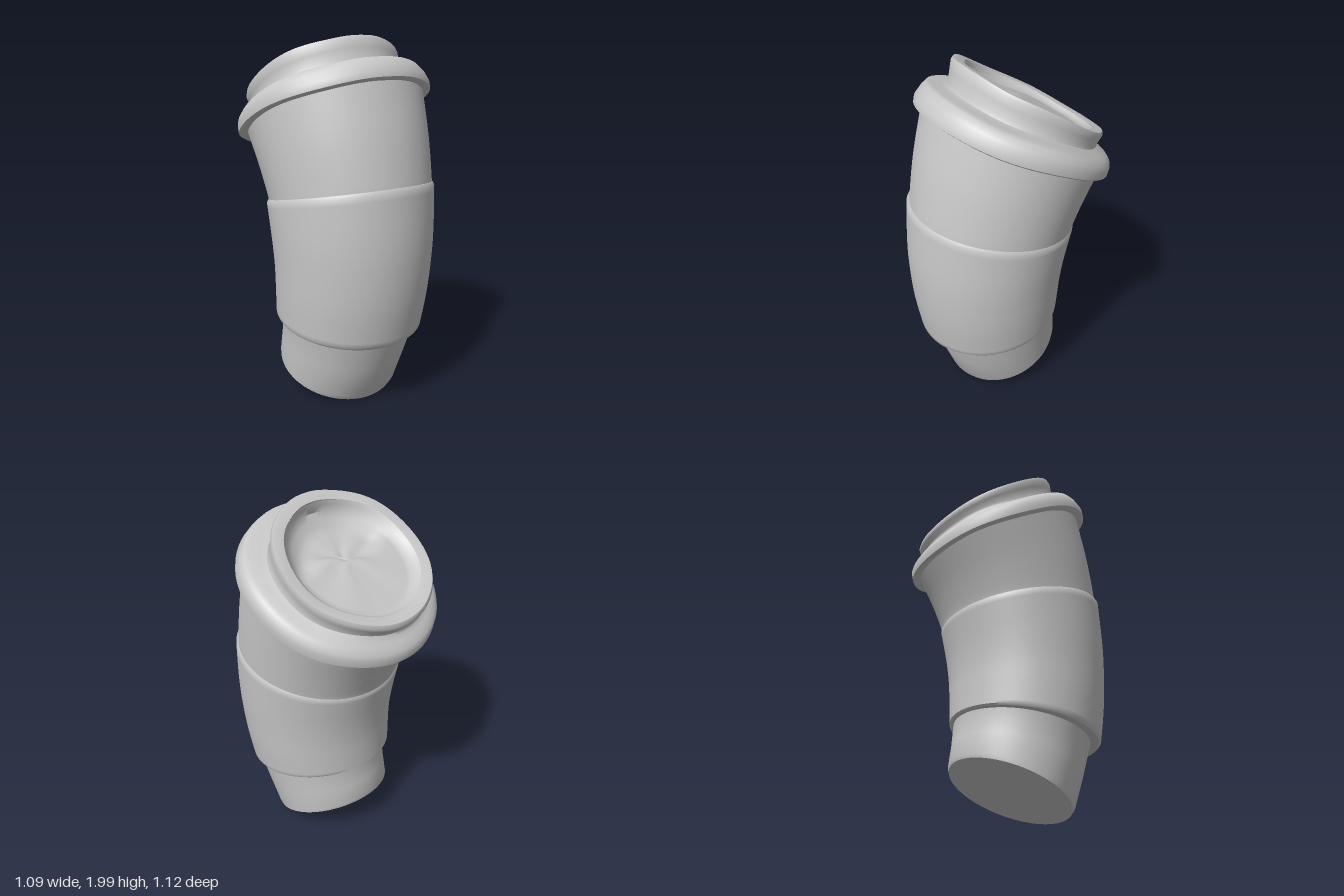
import * as THREE from 'three';
import { toCreasedNormals } from 'three/addons/utils/BufferGeometryUtils.js';

const SEGMENTS = 72;

// A section is [frontZ, frontY, backZ, backY, minX, maxX]: a tilted ellipse.
function sectionPoint(s, angle) {
  const [fz, fy, bz, by, x0, x1] = s;
  const c = Math.cos(angle);
  return new THREE.Vector3(
    (x0 + x1) / 2 + ((x1 - x0) / 2) * Math.sin(angle),
    (fy + by) / 2 + ((fy - by) / 2) * c,
    (fz + bz) / 2 + ((fz - bz) / 2) * c
  );
}

// Shrinks a section about its centre.
function shrink(s, k) {
  const out = [];
  for (const [a, b] of [[0, 2], [1, 3], [4, 5]]) {
    const mid = (s[a] + s[b]) / 2;
    out[a] = mid + (s[a] - mid) * k;
    out[b] = mid + (s[b] - mid) * k;
  }
  return out;
}

// Adds smooth in-between sections (Catmull-Rom on every value).
function refine(sections, steps) {
  const out = [];
  const at = (i) => sections[Math.max(0, Math.min(sections.length - 1, i))];
  for (let i = 0; i < sections.length - 1; i++) {
    for (let k = 0; k < steps; k++) {
      const t = k / steps;
      out.push(at(i).map((p1, n) => {
        const p0 = at(i - 1)[n], p2 = at(i + 1)[n], p3 = at(i + 2)[n];
        return p1 + 0.5 * t * (p2 - p0 + t * (2 * p0 - 5 * p1 + 4 * p2 - p3 + t * (3 * (p1 - p2) + p3 - p0)));
      }));
    }
  }
  out.push(at(sections.length - 1));
  return out;
}

// Skins the sections in order; optional rule moves each point.
function loft(name, sections, material, crease = 0.7, move = null) {
  const rings = sections.map((s) => {
    const ring = [];
    for (let j = 0; j < SEGMENTS; j++) {
      const p = sectionPoint(s, (j / SEGMENTS) * Math.PI * 2);
      if (move) move(p);
      ring.push(p);
    }
    return ring;
  });
  const pos = [];
  const tri = (a, b, c) => {
    if (a.distanceTo(b) < 1e-5 || b.distanceTo(c) < 1e-5 || c.distanceTo(a) < 1e-5) return;
    pos.push(...a.toArray(), ...b.toArray(), ...c.toArray());
  };
  for (let i = 0; i < rings.length - 1; i++) {
    for (let j = 0; j < SEGMENTS; j++) {
      const k = (j + 1) % SEGMENTS;
      tri(rings[i][j], rings[i][k], rings[i + 1][k]);
      tri(rings[i][j], rings[i + 1][k], rings[i + 1][j]);
    }
  }
  const geometry = new THREE.BufferGeometry();
  geometry.setAttribute('position', new THREE.Float32BufferAttribute(pos, 3));
  const mesh = new THREE.Mesh(toCreasedNormals(geometry, crease), material);
  mesh.name = name;
  return mesh;
}

export function createModel() {
  const group = new THREE.Group();
  group.name = 'bentCup';
  const clay = new THREE.MeshStandardMaterial({ color: 0xc8c8c8, side: THREE.DoubleSide });
  clay.name = 'light grey';

  // Cup foot with its flat, tilted bottom
  const foot = [0.315, 0.005, -0.31, 0.25, -0.36, 0.325];
  group.add(loft('cupBase', [
    shrink(foot, 0),
    shrink(foot, 0.97),
    foot,
    [0.335, 0.03, -0.315, 0.27, -0.362, 0.33],
    [0.4, 0.21, -0.295, 0.38, -0.367, 0.355],
    [0.455, 0.375, -0.28, 0.5, -0.37, 0.38],
    [0.48, 0.46, -0.285, 0.56, -0.39, 0.39],
  ], clay));

  // Sleeve wrapped around the bent middle
  const sleeveBottom = [0.495, 0.38, -0.295, 0.505, -0.415, 0.4];
  const sleeveTop = [0.543, 1.235, -0.362, 1.055, -0.456, 0.478];
  group.add(loft('sleeve', [
    [0.455, 0.385, -0.275, 0.505, -0.37, 0.375],
    sleeveBottom,
    ...refine([
      [0.512, 0.395, -0.305, 0.515, -0.423, 0.408],
      [0.545, 0.6, -0.305, 0.62, -0.431, 0.43],
      [0.56, 0.8, -0.308, 0.74, -0.437, 0.447],
      [0.56, 0.98, -0.325, 0.88, -0.446, 0.462],
      sleeveTop,
    ], 5),
    [0.532, 1.25, -0.355, 1.07, -0.447, 0.47],
    [0.51, 1.25, -0.34, 1.07, -0.43, 0.455],
  ], clay));

  // Upper cup wall
  group.add(loft('cupWall', refine([
    [0.53, 1.2, -0.35, 1.03, -0.437, 0.464],
    [0.524, 1.27, -0.366, 1.09, -0.443, 0.47],
    [0.475, 1.52, -0.425, 1.22, -0.466, 0.486],
    [0.4, 1.79, -0.51, 1.37, -0.492, 0.503],
  ], 5), clay));

  // Lid: overhanging rim, groove, step and raised ring
  const wobble = (p) => {
    const a = Math.atan2(p.x, p.z + 0.1);
    p.y += 0.006 * Math.sin(5 * a + 1) * Math.abs(Math.sin(a));
  };
  const ring = [0.145, 1.965, -0.47, 1.57, -0.385, 0.37];
  group.add(loft('lid', [
    [0.39, 1.775, -0.5, 1.365, -0.485, 0.495],
    [0.425, 1.785, -0.535, 1.34, -0.525, 0.53],
    [0.44, 1.8, -0.552, 1.345, -0.538, 0.545],
    [0.432, 1.83, -0.56, 1.385, -0.54, 0.548],
    [0.395, 1.87, -0.553, 1.405, -0.53, 0.54],
    [0.365, 1.895, -0.538, 1.43, -0.51, 0.52],
    [0.335, 1.892, -0.522, 1.45, -0.49, 0.495],
    [0.285, 1.868, -0.505, 1.47, -0.46, 0.46],
    [0.255, 1.865, -0.5, 1.485, -0.435, 0.425],
    [0.242, 1.885, -0.505, 1.495, -0.43, 0.42],
    [0.228, 1.94, -0.525, 1.515, -0.44, 0.425],
    [0.214, 1.985, -0.532, 1.53, -0.45, 0.432],
    [0.2, 1.998, -0.526, 1.55, -0.446, 0.428],
    [0.18, 1.99, -0.505, 1.56, -0.425, 0.41],
    ring,
  ], clay, 0.8, wobble));

  // Sunken lid top, deeper towards the front behind a wavy ridge
  const floor = [0.155, 1.9, -0.43, 1.56, -0.335, 0.325];
  const dent = (p) => {
    const edge = Math.hypot(p.x / 0.33, (p.z + 0.137) / 0.29);
    const inside = THREE.MathUtils.smoothstep(1.05 - edge, 0, 0.3);
    const ridge = -0.11 + 0.025 * Math.sin(p.x * 14);
    const front = THREE.MathUtils.smoothstep(p.z, ridge - 0.03, ridge + 0.07);
    p.y -= 0.05 * inside * front;
    p.z += 0.012 * inside * front;
  };
  group.add(loft('lidRecess', [
    ring,
    [0.145, 1.945, -0.455, 1.562, -0.365, 0.353],
    floor,
    ...[0.92, 0.84, 0.75, 0.66, 0.56, 0.46, 0.36, 0.25, 0.12, 0].map((k) => shrink(floor, k)),
  ], clay, 0.8, (p) => { wobble(p); dent(p); }));

  return group;
}
